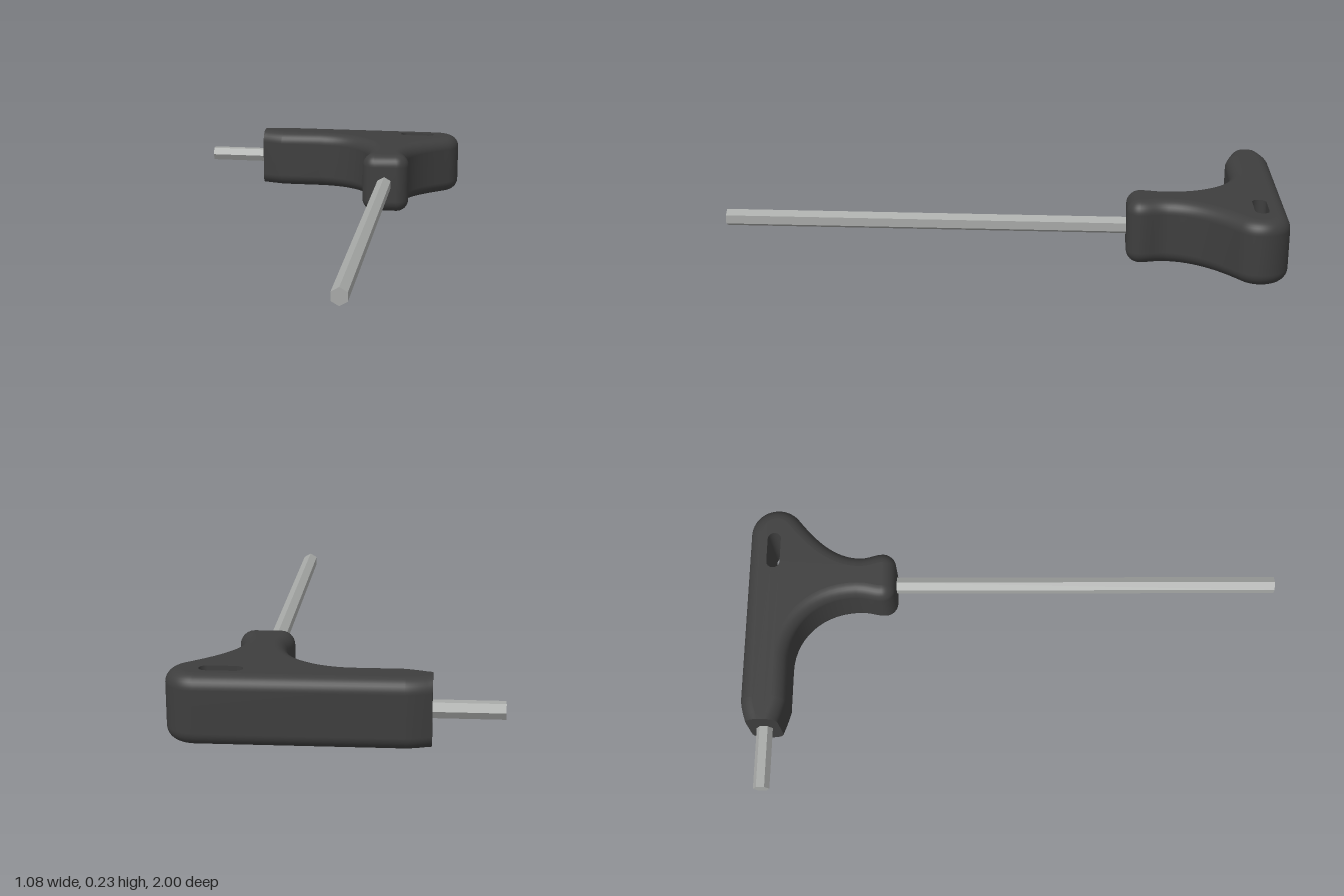
import * as THREE from 'three';

const HEIGHT = 0.234, ROUND = 0.046, MID = HEIGHT / 2;

// Handle outline in (x, z), open at the flat end on the -x side
function handleOutline() {
  const p = new THREE.Path();
  p.moveTo(-0.31, -0.979);
  p.quadraticCurveTo(-0.26, -0.998, -0.225, -1);
  p.lineTo(0.437, -1);
  p.absarc(0.437, -0.9, 0.1, -Math.PI / 2, 0.87, false);      // rounded head
  p.bezierCurveTo(0.43, -0.765, 0.345, -0.69, 0.339, -0.59);  // neck
  p.bezierCurveTo(0.336, -0.55, 0.355, -0.53, 0.355, -0.495);
  p.absarc(0.305, -0.495, 0.05, 0, Math.PI / 2, false);       // collar
  p.absarc(0.218, -0.495, 0.05, Math.PI / 2, Math.PI, false);
  p.bezierCurveTo(0.168, -0.53, 0.181, -0.55, 0.18, -0.59);
  p.bezierCurveTo(0.178, -0.74, 0.07, -0.836, -0.06, -0.836); // inner sweep
  p.lineTo(-0.225, -0.836);
  p.quadraticCurveTo(-0.26, -0.844, -0.31, -0.862);
  const pts = p.getPoints(14);
  return pts.filter((q, i) => i === 0 || q.distanceTo(pts[i - 1]) > 1e-4);
}

// Inset of the outline; end points slide along the flat end
function inset(pts, d) {
  const normal = (a, b) => new THREE.Vector2(b.y - a.y, a.x - b.x).normalize();
  return pts.map((p, i) => {
    const last = pts.length - 1;
    if (i === 0 || i === last) return new THREE.Vector2(p.x, p.y + (i === 0 ? d : -d));
    const a = normal(pts[i - 1], p), b = normal(p, pts[i + 1]);
    const m = a.clone().add(b).normalize();
    return p.clone().addScaledVector(m, -d / m.dot(a));
  });
}

// Surface through stacked rings of { y, pts }
function loft(rings) {
  const n = rings[0].pts.length, pos = [], idx = [];
  rings.forEach(r => r.pts.forEach(p => pos.push(p.x, r.y, p.y)));
  for (let j = 0; j < rings.length - 1; j++) {
    for (let i = 0; i < n - 1; i++) {
      const a = j * n + i, b = a + n;
      idx.push(a, b, a + 1, a + 1, b, b + 1);
    }
  }
  const g = new THREE.BufferGeometry();
  g.setAttribute('position', new THREE.Float32BufferAttribute(pos, 3));
  g.setIndex(idx);
  g.computeVertexNormals();
  return g;
}

// Flat face with the slot cut out; side is 1 for top, -1 for bottom
function face(pts, slot, side) {
  const flip = list => list.map(p => new THREE.Vector2(p.x, -side * p.y));
  const shape = new THREE.Shape(flip(pts));
  shape.holes.push(new THREE.Path(flip(slot)));
  const g = new THREE.ShapeGeometry(shape);
  g.rotateX(-side * Math.PI / 2);
  g.translate(0, side > 0 ? HEIGHT : 0, 0);
  return g;
}

// Hexagonal bar along y with hard edges
function hexBar(radius, length) {
  const g = new THREE.CylinderGeometry(radius, radius, length, 6).toNonIndexed();
  g.computeVertexNormals();
  return g;
}

export function createModel() {
  const model = new THREE.Group();
  const rubber = new THREE.MeshStandardMaterial({ color: 0x3e3e3e });
  rubber.name = 'dark grip';
  const steel = new THREE.MeshStandardMaterial({ color: 0xa8aaa8 });
  steel.name = 'steel';
  const add = (parent, name, geometry, material) => {
    const m = new THREE.Mesh(geometry, material);
    m.name = name;
    parent.add(m);
    return m;
  };

  const handle = new THREE.Group();
  handle.name = 'handle';
  model.add(handle);

  // Rings follow a quarter round at the bottom and at the top
  const outline = handleOutline(), rings = [], steps = 8;
  for (const top of [false, true]) {
    for (let k = 0; k <= steps; k++) {
      const t = (top ? steps - k : k) / steps * Math.PI / 2;
      const y = ROUND * (1 - Math.cos(t));
      rings.push({ y: top ? HEIGHT - y : y, pts: inset(outline, ROUND * (1 - Math.sin(t))) });
    }
  }
  add(handle, 'handleSide', loft(rings), rubber);

  // Flat end where the short bar comes out
  const end = rings.map(r => ({ y: r.y, pts: [r.pts[r.pts.length - 1], r.pts[0]] }));
  add(handle, 'handleEnd', loft(end), rubber);

  // Hanging slot through the head
  const slotPath = new THREE.Path();
  slotPath.absarc(0.405, -0.907, 0.025, Math.PI / 2, -Math.PI / 2, true);
  slotPath.absarc(0.313, -0.907, 0.025, -Math.PI / 2, -Math.PI * 1.5, true);
  const slot = slotPath.getPoints(10);
  const closed = [...slot, slot[0]];
  add(handle, 'slotWall', loft([{ y: 0, pts: closed }, { y: HEIGHT, pts: closed }]), rubber);
  add(handle, 'handleTop', face(rings[0].pts, slot, 1), rubber);
  add(handle, 'handleBottom', face(rings[0].pts, slot, -1), rubber);

  // Hexagonal bars
  const longBar = add(model, 'longBar', hexBar(0.031, 1.5).rotateX(Math.PI / 2), steel);
  longBar.position.set(0.26, MID + 0.002, 0.25);
  const shortBar = add(model, 'shortBar', hexBar(0.03, 0.3).rotateZ(Math.PI / 2), steel);
  shortBar.position.set(-0.39, MID + 0.002, -0.92);
  return model;
}
